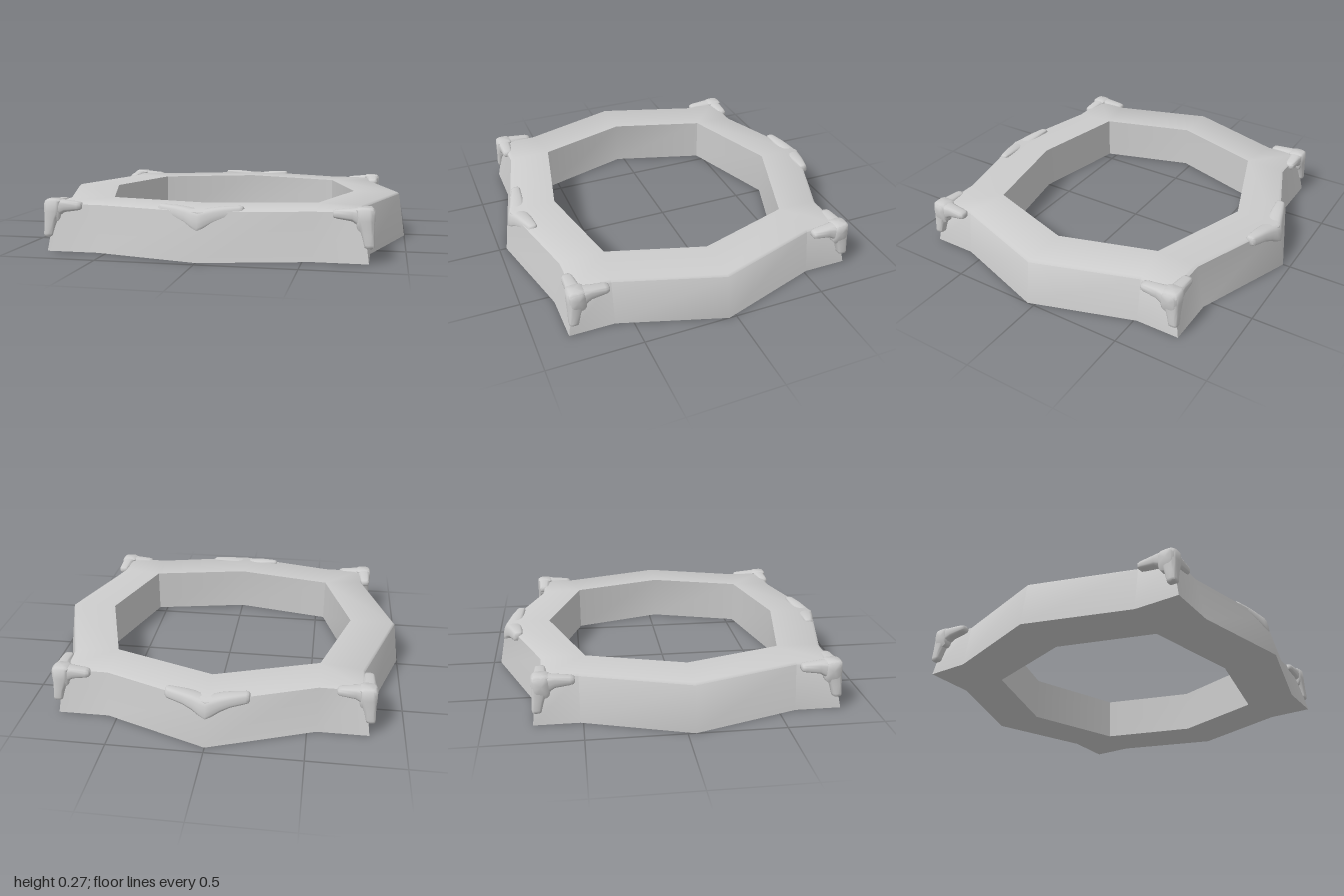
import * as THREE from 'three';
import { toCreasedNormals } from 'three/addons/utils/BufferGeometryUtils.js';

const V = (x, y, z) => new THREE.Vector3(x, y, z);
const material = new THREE.MeshStandardMaterial({ color: 0xcccccc });

// Joins equal-length loops of points with quads, skipping collapsed triangles
function skin(loops, crease) {
  const pos = [];
  const tri = (a, b, c) => {
    const area = b.clone().sub(a).cross(c.clone().sub(a)).length();
    if (area > 1e-9) for (const p of [a, b, c]) pos.push(p.x, p.y, p.z);
  };
  for (let k = 0; k + 1 < loops.length; k++) {
    const a = loops[k], b = loops[k + 1], n = a.length;
    for (let i = 0; i < n; i++) {
      const j = (i + 1) % n;
      tri(a[i], a[j], b[j]);
      tri(a[i], b[j], b[i]);
    }
  }
  const geo = new THREE.BufferGeometry();
  geo.setAttribute('position', new THREE.Float32BufferAttribute(pos, 3));
  return toCreasedNormals(geo, crease);
}

// Closed loft of rounded-square sections: each has centre c and half axes u, v
function loft(sections) {
  const n = 20, first = sections[0], last = sections[sections.length - 1];
  const along = last.c.clone().sub(first.c);
  const flip = along.dot(first.u.clone().cross(first.v)) < 0 ? -1 : 1;
  const bulge = (t) => Math.sign(t) * Math.pow(Math.abs(t), 0.6);
  const loops = sections.map(({ c, u, v }) => Array.from({ length: n }, (_, i) => {
    const a = (i / n) * Math.PI * 2;
    return c.clone().addScaledVector(u, bulge(Math.cos(a))).addScaledVector(v, flip * bulge(Math.sin(a)));
  }));
  const point = (s) => Array.from({ length: n }, () => s.c);
  return skin([point(first), ...loops, point(last)], 0.95);
}

function addMesh(parent, name, geometry) {
  const mesh = new THREE.Mesh(geometry, material);
  mesh.name = name;
  parent.add(mesh);
}

// Frame: sloped outer wall with pointed sides, small top bevel, eight-sided opening
function frameGeometry() {
  // outer x, outer z, inner x, inner z for the +x half, front to back
  const half = [
    [0, 0.96, 0, 0.66],
    [0.55, 0.83, 0.55, 0.55],
    [0.82, 0.83, 0.55, 0.55],
    [0.82, 0.59, 0.55, 0.55],
    [1, 0.04, 0.71, 0.04],
    [0.82, -0.515, 0.55, -0.475],
    [0.82, -0.75, 0.55, -0.475],
    [0.55, -0.75, 0.55, -0.475],
    [0, -0.96, 0, -0.665],
  ];
  const mirrored = half.slice(1, -1).reverse().map(([a, b, c, d]) => [-a, b, -c, d]);
  const outline = [...half, ...mirrored];
  const outer = (y, inset) => outline.map(([x, z]) => V(
    Math.abs(x) > 0.6 ? x - Math.sign(x) * inset : x, y,
    Math.abs(z) > 0.7 ? z - Math.sign(z) * inset * 1.3 : z));
  const inner = (y) => outline.map(([, , x, z]) => V(x, y, z));
  return skin([outer(0, 0), outer(0.24, 0.035), outer(0.25, 0.047),
    inner(0.25), inner(0), outer(0, 0)], 0.75);
}

// Corner clip: two arms along the top edges and a leg down the corner
function cornerClip(sx, zOuter) {
  const clip = new THREE.Group();
  clip.name = 'cornerClip';
  const sz = Math.sign(zOuter);
  // position measured inward from the outer faces of the clip
  const at = (dx, y, dz) => V(sx * (0.845 - dx), y, zOuter - sz * dz);
  // distance, across centre, across half, y centre, y half
  const arm = [
    [0.002, 0.047, 0.034, 0.215, 0.04],
    [0.012, 0.047, 0.043, 0.207, 0.057],
    [0.05, 0.047, 0.045, 0.207, 0.058],
    [0.08, 0.044, 0.04, 0.221, 0.043],
    [0.11, 0.042, 0.034, 0.23, 0.031],
    [0.18, 0.04, 0.029, 0.232, 0.022],
    [0.197, 0.04, 0.025, 0.232, 0.018],
    [0.203, 0.04, 0.017, 0.232, 0.011],
  ];
  addMesh(clip, 'sidewaysArm', loft(arm.map(([d, c, h, y, hy]) =>
    ({ c: at(d, y, c), u: V(0, hy, 0), v: V(0, 0, h) }))));
  addMesh(clip, 'lengthwiseArm', loft(arm.map(([d, c, h, y, hy]) =>
    ({ c: at(c, y, d * 1.04), u: V(0, hy, 0), v: V(h, 0, 0) }))));
  // y, inward centre, half width
  const leg = [
    [0.266, 0.05, 0.035], [0.257, 0.05, 0.046], [0.205, 0.047, 0.045],
    [0.17, 0.04, 0.038], [0.135, 0.033, 0.031], [0.09, 0.026, 0.026],
    [0.078, 0.025, 0.024], [0.072, 0.025, 0.016],
  ];
  addMesh(clip, 'leg', loft(leg.map(([y, c, h]) =>
    ({ c: at(c, y, c - 0.006), u: V(h, 0, 0), v: V(0, 0, h) }))));
  return clip;
}

// Middle clip: winged shape over the edge with a point drooping down the wall
function middleClipGeometry(sz) {
  // x, outer z, inner z, top y, bottom y
  const wing = [
    [0, 0.93, 0.83, 0.247, 0.135],
    [0.03, 0.921, 0.828, 0.251, 0.151],
    [0.07, 0.906, 0.822, 0.257, 0.176],
    [0.12, 0.89, 0.817, 0.262, 0.197],
    [0.195, 0.865, 0.812, 0.265, 0.21],
    [0.208, 0.86, 0.815, 0.263, 0.214],
    [0.214, 0.852, 0.822, 0.256, 0.222],
  ];
  const mirrored = wing.slice(1).reverse().map(([x, ...rest]) => [-x, ...rest]);
  return loft([...mirrored, ...wing].map(([x, zo, zi, top, bottom]) => {
    const hy = (top - bottom) / 2;
    return {
      c: V(x, (top + bottom) / 2, sz * (zo + zi) / 2),
      u: V(0, 0, sz * (zo - zi) / 2),
      v: V(0, hy, -sz * 0.18 * hy),
    };
  }));
}

export function createModel() {
  const model = new THREE.Group();
  model.name = 'clippedFrame';
  addMesh(model, 'frame', frameGeometry());
  for (const sx of [-1, 1]) {
    for (const z of [0.82, -0.745]) model.add(cornerClip(sx, z));
  }
  addMesh(model, 'frontClip', middleClipGeometry(1));
  addMesh(model, 'backClip', middleClipGeometry(-1));
  return model;
}
